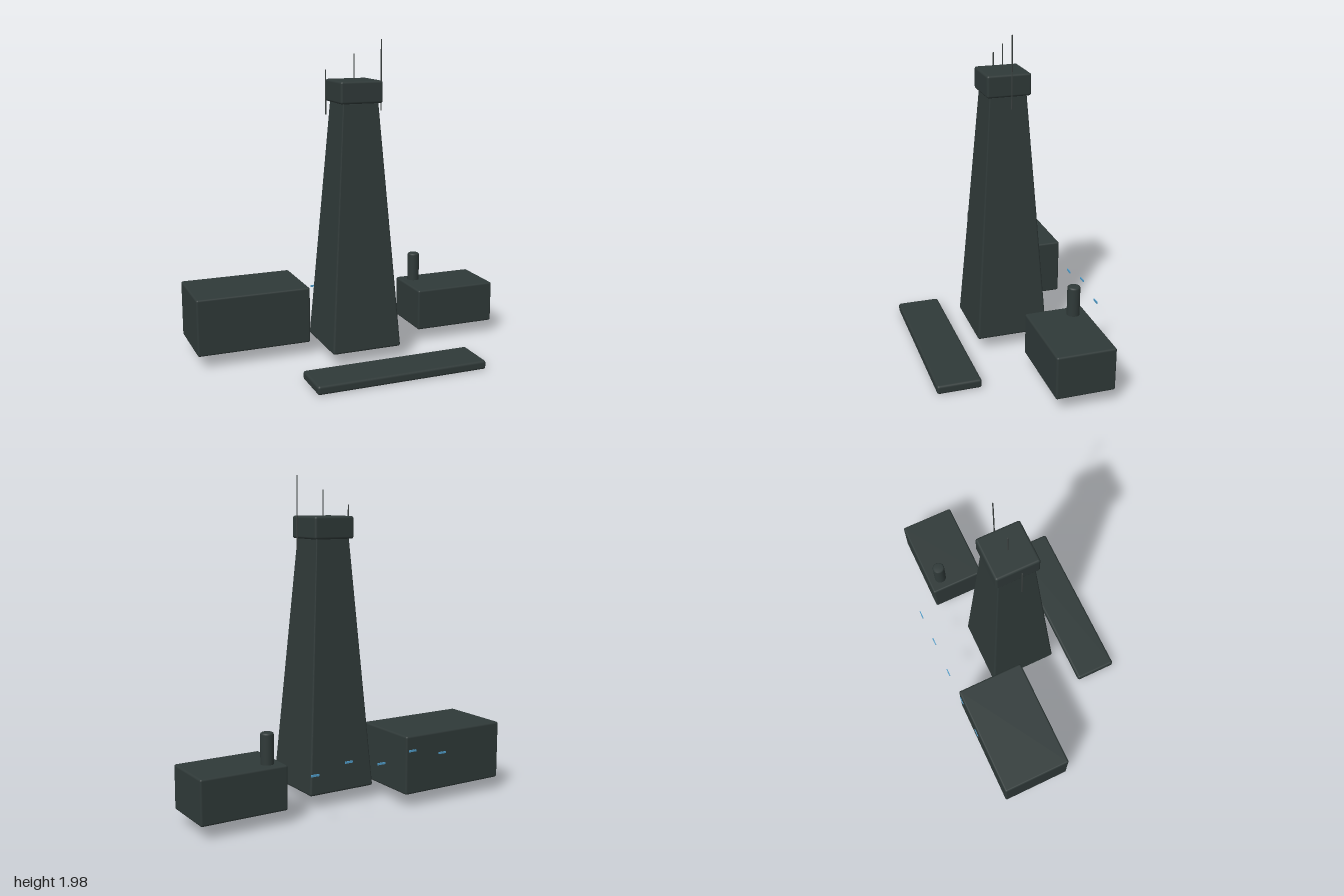
import * as THREE from 'three';
import { RoundedBoxGeometry } from 'three/addons/geometries/RoundedBoxGeometry.js';

export function createModel() {
  const model = new THREE.Group();
  const slate = new THREE.MeshStandardMaterial({ name: 'dark slate', color: 0x2f3938 });
  const metal = new THREE.MeshStandardMaterial({ name: 'antenna grey', color: 0x3c4241 });
  const glass = new THREE.MeshStandardMaterial({ name: 'window blue', color: 0x4f9bc8 });

  const add = (name, geometry, material, x = 0, y = 0, z = 0) => {
    const mesh = new THREE.Mesh(geometry, material);
    mesh.name = name;
    mesh.position.set(x, y, z);
    model.add(mesh);
    return mesh;
  };

  // Rounded block given by its limits on each axis
  const block = (name, [x0, x1], [y0, y1], [z0, z1], r = 0.012) =>
    add(name, new RoundedBoxGeometry(x1 - x0, y1 - y0, z1 - z0, 3, r), slate,
      (x0 + x1) / 2, (y0 + y1) / 2, (z0 + z1) / 2);

  const towerZ = -0.046;

  // Low buildings and front slab
  block('largeHall', [-1, -0.277], [0.08, 0.44], [-0.543, -0.095]);
  block('smallHall', [0.455, 0.998], [0.08, 0.347], [-0.406, -0.046]);
  block('frontSlab', [-0.455, 0.632], [0, 0.055], [0.275, 0.545], 0.015);

  // Tower: a rounded box narrowed towards its top
  const height = 1.53, half = 0.226, topHalf = 0.114;
  const shaft = new RoundedBoxGeometry(half * 2, height, half * 2, 3, 0.014);
  const pos = shaft.attributes.position, nor = shaft.attributes.normal;
  const n = new THREE.Vector3();
  for (let i = 0; i < pos.count; i++) {
    const t = pos.getY(i) / height + 0.5;
    const s = 1 + (topHalf / half - 1) * t;
    pos.setX(i, pos.getX(i) * s);
    pos.setZ(i, pos.getZ(i) * s);
    n.fromBufferAttribute(nor, i);
    n.y += (half - topHalf) / height * Math.hypot(n.x, n.z);
    n.normalize();
    nor.setXYZ(i, n.x, n.y, n.z);
  }
  add('towerShaft', shaft, slate, 0, 0.08 + height / 2, towerZ);
  block('towerCap', [-0.136, 0.136], [1.6, 1.735], [towerZ - 0.136, towerZ + 0.136], 0.014);

  // Antennas: x, bottom, top
  for (const [x, y0, y1] of [[-0.183, 1.53, 1.8], [0, 1.7, 1.89], [0.18, 1.54, 1.975]]) {
    add('antenna', new THREE.CylinderGeometry(0.004, 0.004, y1 - y0, 8), metal, x, (y0 + y1) / 2, towerZ);
  }

  // Chimney with a softened rim
  const profile = [[0.039, 0], [0.039, 0.187], [0.0365, 0.194], [0.03, 0.198], [0, 0.198]]
    .map(([x, y]) => new THREE.Vector2(x, y));
  add('chimney', new THREE.LatheGeometry(profile, 24), slate, 0.543, 0.333, -0.32);

  // Row of small rear windows at alternating heights
  for (let i = 0; i < 5; i++) {
    add('rearWindow', new THREE.BoxGeometry(0.052, 0.012, 0.006), glass,
      -0.547 + i * 0.227, i % 2 ? 0.35 : 0.306, -0.545);
  }
  return model;
}
